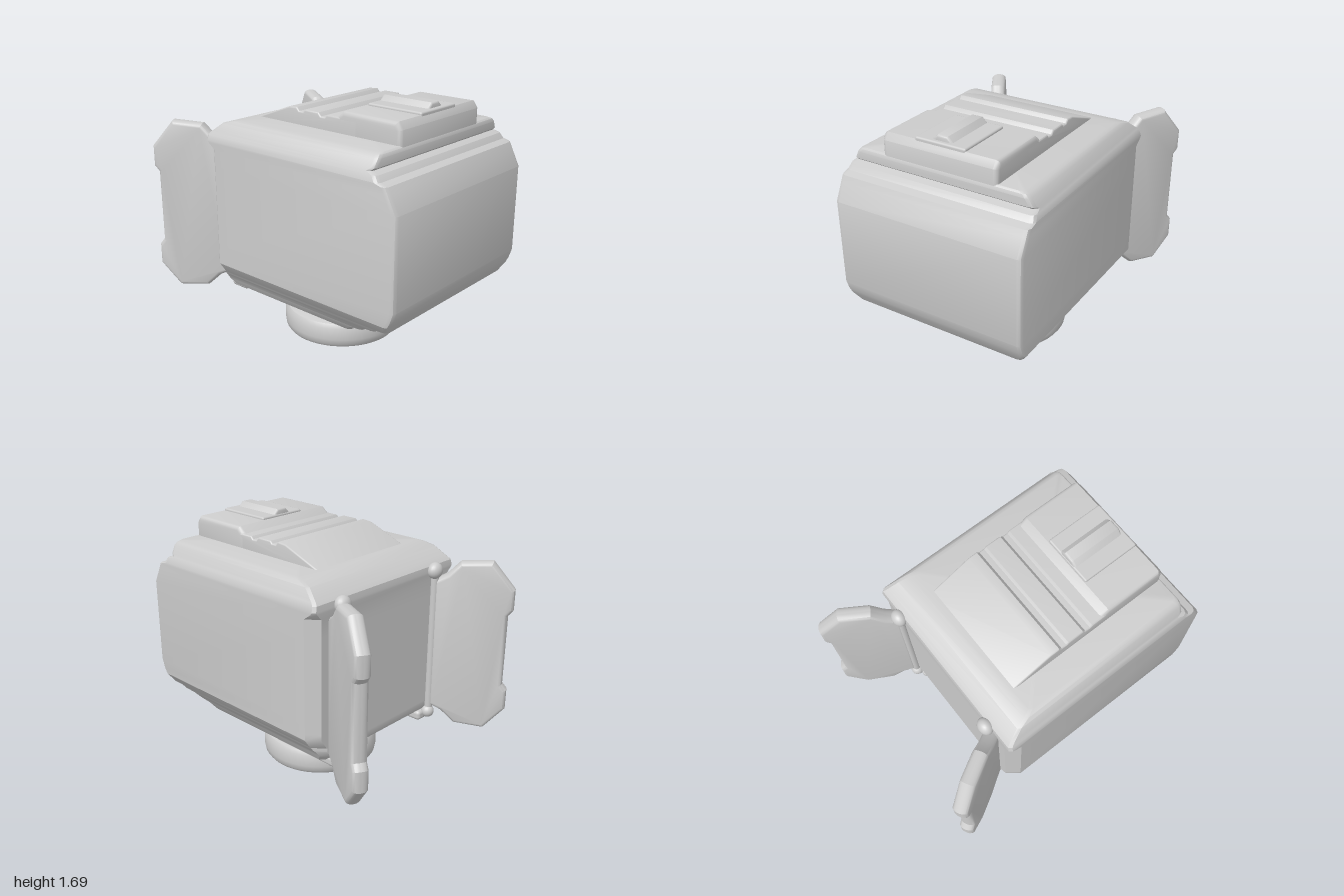
import * as THREE from 'three';
import { toCreasedNormals } from 'three/addons/utils/BufferGeometryUtils.js';
import { RoundedBoxGeometry } from 'three/addons/geometries/RoundedBoxGeometry.js';

const grey = new THREE.MeshStandardMaterial({ color: 0xcccccc });
grey.name = 'light grey';

function part(name, geometry, x = 0, y = 0, z = 0) {
  const mesh = new THREE.Mesh(geometry, grey);
  mesh.name = name;
  mesh.position.set(x, y, z);
  return mesh;
}

// Bevelled slab, centred on its thickness
function slab(points, thickness, bevel, inset = bevel, segments = 3) {
  const shape = new THREE.Shape(points.map(([x, y]) => new THREE.Vector2(x, y)));
  const depth = thickness - 2 * bevel;
  const geo = new THREE.ExtrudeGeometry(shape, {
    depth, bevelEnabled: true, bevelThickness: bevel, bevelSize: inset,
    bevelOffset: -inset, bevelSegments: segments,
  });
  geo.translate(0, 0, -depth / 2);
  return toCreasedNormals(geo, 0.6);
}

// Slab whose outline is given as [z, y] and whose thickness runs along x
function crossSlab(points, width, bevel) {
  return slab(points, width, bevel).rotateY(-Math.PI / 2);
}

// Body: horizontal sections stacked upwards as [y, back z, front z, half width, rear corner cut]
function bodyGeometry() {
  const layers = [
    [0.33, -0.49, 0.57, 0.53, 0.03], [0.37, -0.54, 0.62, 0.555, 0.05],
    [0.38, -0.545, 0.69, 0.56, 0.05], [0.42, -0.55, 0.75, 0.59, 0.06],
    [0.43, -0.55, 0.82, 0.6, 0.07], [0.45, -0.55, 0.85, 0.61, 0.08],
    [0.46, -0.55, 0.92, 0.62, 0.08], [0.52, -0.55, 0.955, 0.66, 0.08],
    [0.56, -0.55, 0.975, 0.66, 0.08], [0.62, -0.55, 0.995, 0.66, 0.08],
    [1.2, -0.55, 0.995, 0.66, 0.08], [1.31, -0.55, 0.94, 0.66, 0.08],
    [1.35, -0.555, 0.92, 0.66, 0.03], [1.365, -0.555, 0.87, 0.66, 0.02],
    [1.4, -0.55, 0.845, 0.65, 0.02], [1.415, -0.535, 0.8, 0.64, 0.02],
    [1.43, -0.515, 0.82, 0.632, 0.02], [1.48, -0.45, 0.825, 0.605, 0.02],
    [1.5, -0.38, 0.82, 0.585, 0.02], [1.51, -0.33, 0.81, 0.56, 0.02],
  ];
  const r = 0.03;
  const positions = [];
  const index = [];
  const n = 10;
  layers.forEach(([y, back, front, w, cut]) => {
    const half = [
      [w - r, front], [w - r * 0.3, front - r * 0.3], [w, front - r],
      [w, back + cut], [w - cut * 0.8, back],
    ];
    const ring = [...half, ...half.map(([x, z]) => [-x, z]).reverse()];
    ring.forEach(([x, z]) => positions.push(x, y, z));
  });
  for (let j = 0; j < layers.length - 1; j++) {
    for (let i = 0; i < n; i++) {
      const a = j * n + i;
      const b = j * n + (i + 1) % n;
      index.push(a, b, b + n, a, b + n, a + n);
    }
  }
  // Underside and roof
  const top = (layers.length - 1) * n;
  const centre = positions.length / 3;
  positions.push(0, 0.33, 0, 0, 1.51, 0.2);
  for (let i = 0; i < n; i++) {
    const k = (i + 1) % n;
    index.push(centre, k, i, centre + 1, top + i, top + k);
  }
  const geo = new THREE.BufferGeometry();
  geo.setAttribute('position', new THREE.Float32BufferAttribute(positions, 3));
  geo.setIndex(index);
  return toCreasedNormals(geo, 0.5);
}

function addRoofHousing(group) {
  // Stepped rear deck sloping to the back
  group.add(part('roofDeck', crossSlab([
    [-0.36, 1.47], [0.5, 1.47], [0.5, 1.605], [0.265, 1.605], [0.25, 1.588],
    [0.215, 1.588], [0.195, 1.61], [0.085, 1.61], [0.07, 1.595],
    [0.035, 1.595], [0.015, 1.617], [-0.05, 1.612], [-0.36, 1.495],
  ], 0.8, 0.01)));
  // Raised front block with its stepped centre
  group.add(part('roofBlock', crossSlab([
    [0.32, 1.46], [0.82, 1.46], [0.82, 1.6], [0.79, 1.645], [0.39, 1.645], [0.32, 1.59],
  ], 0.8, 0.028)));
  group.add(part('centrePanel', new RoundedBoxGeometry(0.35, 0.06, 0.4, 2, 0.012), 0, 1.631, 0.595));
  group.add(part('centreRidge', slab([
    [-0.07, 1.63], [0.07, 1.63], [0.07, 1.66], [0.035, 1.693], [-0.035, 1.693], [-0.07, 1.66],
  ], 0.37, 0.015), 0, 0, 0.585));
}

function addFoot(group) {
  const profile = [
    [0, 0], [0.34, 0.004], [0.375, 0.012], [0.392, 0.035], [0.398, 0.07], [0.396, 0.15],
    [0.38, 0.178], [0.345, 0.19], [0.3, 0.197], [0.295, 0.22], [0.285, 0.25],
    [0.295, 0.27], [0.325, 0.285], [0.325, 0.31], [0.31, 0.34],
  ].map(([x, y]) => new THREE.Vector2(x, y));
  group.add(part('foot', toCreasedNormals(new THREE.LatheGeometry(profile, 48), 0.6), 0, 0, 0.045));
}

// Side flap with its hinge, built on the left and mirrored
function makeFlap(side) {
  const group = new THREE.Group();
  group.name = side > 0 ? 'leftFlap' : 'rightFlap';
  const outline = [
    [-0.545, 1.3], [-0.62, 1.35], [-0.69, 1.435], [-0.87, 1.45], [-1, 1.27], [-1, 1.13],
    [-0.972, 1.09], [-0.972, 0.6], [-1, 0.56], [-1, 0.42], [-0.88, 0.26], [-0.7, 0.275],
    [-0.62, 0.36], [-0.545, 0.4],
  ].map(([z, y]) => [(-z - 0.57) / 0.87, y]).reverse();
  const panel = part('flapPanel', slab(outline, 0.1, 0.045, 0.028, 4), 0.49, 0, -0.57);
  panel.rotation.y = Math.PI / 3;
  group.add(panel);

  group.add(part('hingeRod', new THREE.CylinderGeometry(0.028, 0.028, 0.98, 16), 0.455, 0.86, -0.56));
  const knob = part('hingeKnob', new THREE.SphereGeometry(0.05, 20, 14), 0.44, 1.37, -0.57);
  knob.scale.set(1.15, 1.1, 0.95);
  group.add(knob);
  group.add(part('hingeFoot', new RoundedBoxGeometry(0.13, 0.07, 0.15, 3, 0.025), 0.43, 0.32, -0.475));
  const lower = part('lowerKnob', new THREE.SphereGeometry(0.045, 20, 14), 0.45, 0.345, -0.56);
  group.add(lower);
  group.scale.x = side;
  return group;
}

export function createModel() {
  const model = new THREE.Group();
  model.name = 'model';
  model.add(part('body', bodyGeometry()));
  addRoofHousing(model);
  addFoot(model);
  for (const side of [1, -1]) model.add(makeFlap(side));
  return model;
}
